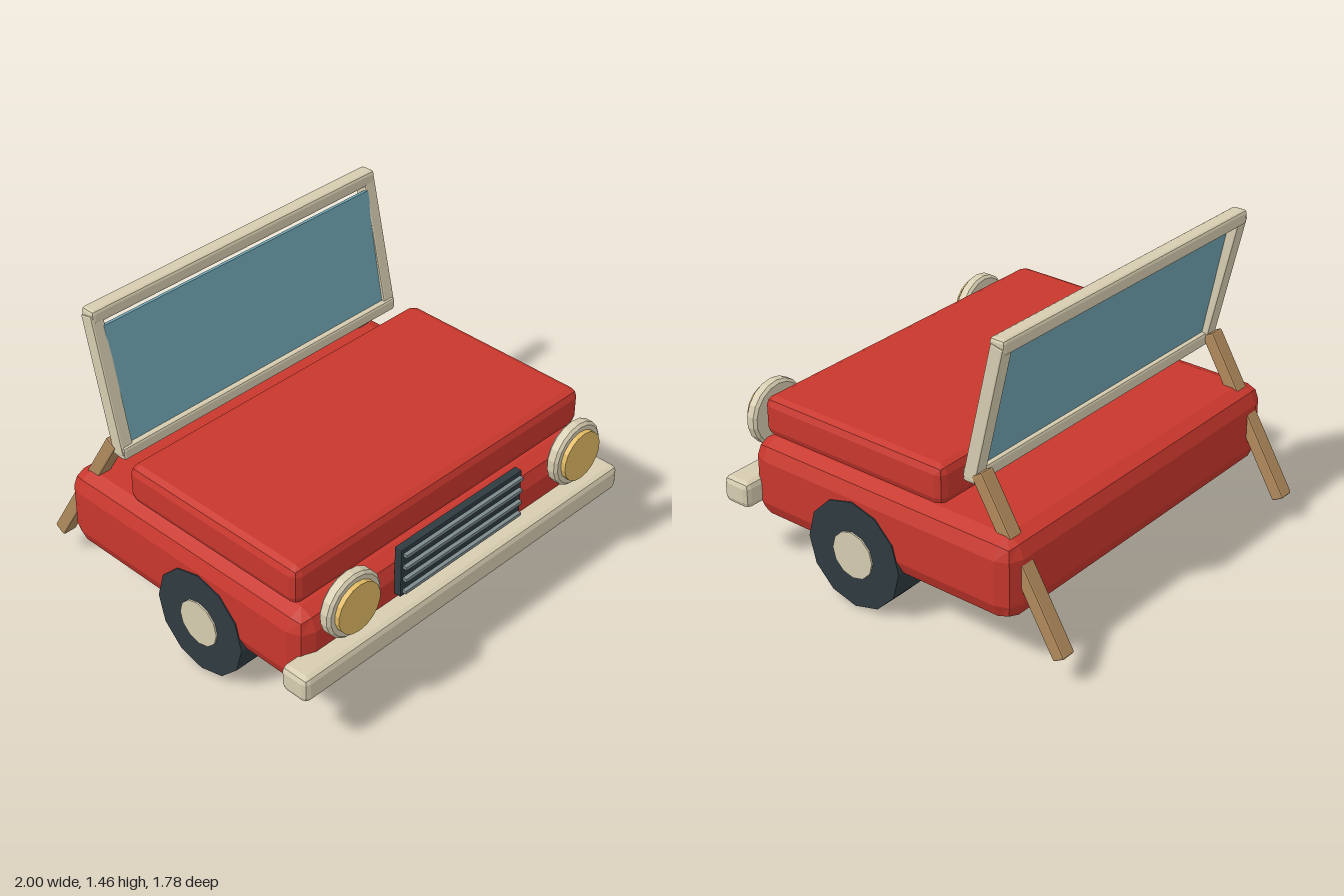
import * as THREE from 'three';
import { RoundedBoxGeometry } from 'three/addons/geometries/RoundedBoxGeometry.js';

const paint = (color) => new THREE.MeshStandardMaterial({ color, flatShading: true });

export function createModel() {
  const model = new THREE.Group();
  model.name = 'toyCarFront';

  const red = paint(0xc8372d);
  const cream = paint(0xd6ccb0);
  const dark = paint(0x2f3b40);
  const slatGrey = paint(0x7d8a8d);
  const wood = paint(0xb08a5c);
  const amber = paint(0xe0b862);
  const glassBlue = paint(0x6fa3b0);

  const add = (name, geometry, material, x, y, z) => {
    const mesh = new THREE.Mesh(geometry, material);
    mesh.name = name;
    mesh.position.set(x, y, z);
    model.add(mesh);
    return mesh;
  };
  // box with two-facet bevels
  const block = (w, h, d, r) => new RoundedBoxGeometry(w, h, d, 1, r);

  // square bar in the yz plane running between two [y, z] points
  const bar = (name, x, [y0, z0], [y1, z1], w, t, material) => {
    const length = Math.hypot(y1 - y0, z1 - z0);
    const mesh = add(name, block(w, length, t, 0.008), material, x, (y0 + y1) / 2, (z0 + z1) / 2);
    mesh.rotation.x = Math.atan2(z1 - z0, y1 - y0);
    return mesh;
  };

  // body, hood and bumper
  add('body', block(1.85, 0.38, 1.456, 0.085), red, 0, 0.42, 0.052);
  add('hood', block(1.776, 0.187, 1.004, 0.04), red, 0, 0.727, 0.212);
  add('bumper', block(2, 0.126, 0.147, 0.028), cream, 0, 0.358, 0.807);

  // grille with four slats
  add('grille', block(0.76, 0.25, 0.04, 0.006), dark, 0, 0.57, 0.795);
  for (let i = 0; i < 4; i++) {
    add('grilleSlat', new THREE.BoxGeometry(0.735, 0.016, 0.03), slatGrey, 0, 0.473 + i * 0.064, 0.819);
  }

  // windscreen frame and glass
  add('windscreenTopBar', block(1.68, 0.068, 0.075, 0.015), cream, 0, 1.425, -0.542);
  add('windscreenBottomBar', block(1.68, 0.062, 0.07, 0.012), cream, 0, 0.805, -0.396);
  const glass = add('windscreenGlass', new THREE.BoxGeometry(1.58, 0.56, 0.02), glassBlue, 0, 1.1, -0.452);
  glass.rotation.x = -0.2;

  // chamfered headlight rim, turned around its axis
  const rimProfile = [[0, -0.03], [0.142, -0.03], [0.155, -0.018], [0.155, 0.018], [0.142, 0.03], [0, 0.03]]
    .map(([r, h]) => new THREE.Vector2(r, h));
  const rimGeometry = new THREE.LatheGeometry(rimProfile, 18).rotateX(Math.PI / 2);
  const lensGeometry = new THREE.CylinderGeometry(0.12, 0.12, 0.05, 18).rotateX(Math.PI / 2);
  const tireGeometry = new THREE.CylinderGeometry(0.257, 0.257, 0.175, 12).rotateZ(Math.PI / 2);
  const hubGeometry = new THREE.CylinderGeometry(0.112, 0.112, 0.19, 12).rotateZ(Math.PI / 2);

  // mirrored parts
  for (const [side, s] of [['left', 1], ['right', -1]]) {
    add(side + 'HeadlightRim', rimGeometry, cream, s * 0.703, 0.635, 0.837);
    add(side + 'HeadlightLens', lensGeometry, amber, s * 0.703, 0.635, 0.865);
    add(side + 'Tire', tireGeometry, dark, s * 0.843, 0.257, 0.176);
    add(side + 'WheelHub', hubGeometry, cream, s * 0.843, 0.257, 0.176);
    bar(side + 'WindscreenPost', s * 0.812, [0.79, -0.397], [1.43, -0.546], 0.066, 0.066, cream);
    bar(side + 'SupportLeg', s * 0.812, [0.833, -0.44], [0.124, -0.862], 0.074, 0.064, wood);
  }

  return model;
}
